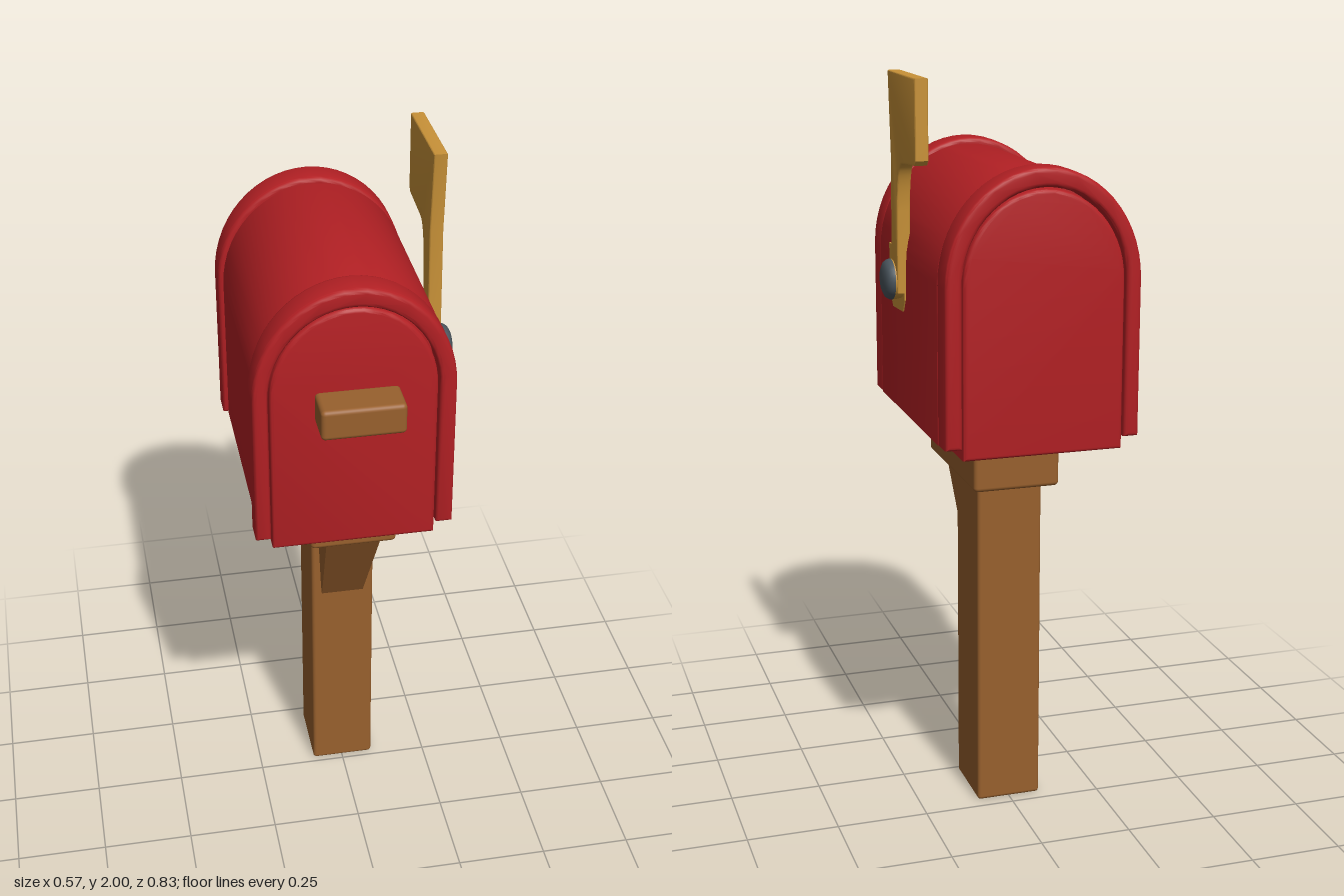
import * as THREE from 'three';
import { toCreasedNormals } from 'three/addons/utils/BufferGeometryUtils.js';
import { RoundedBoxGeometry } from 'three/addons/geometries/RoundedBoxGeometry.js';

const mat = (name, color) => {
  const m = new THREE.MeshStandardMaterial({ color });
  m.name = name;
  return m;
};

// Round-topped outline, from the bottom left corner up, over and down
function archPoints(cx, halfWidth, bottom, spring, top) {
  const pts = [new THREE.Vector2(cx - halfWidth, bottom)];
  const n = 28;
  for (let i = 0; i <= n; i++) {
    const a = Math.PI * (1 - i / n);
    pts.push(new THREE.Vector2(cx + halfWidth * Math.cos(a), spring + (top - spring) * Math.sin(a)));
  }
  pts.push(new THREE.Vector2(cx + halfWidth, bottom));
  return pts;
}

// Extrusion between two depths with softened edges that stay inside the outline
function extrude(shape, z0, z1, bevel) {
  const g = new THREE.ExtrudeGeometry(shape, {
    depth: z1 - z0 - 2 * bevel, curveSegments: 10,
    bevelEnabled: true, bevelThickness: bevel, bevelSize: bevel, bevelOffset: -bevel, bevelSegments: 3,
  });
  g.translate(0, 0, z0 + bevel);
  return toCreasedNormals(g, 0.7);
}

export function createModel() {
  const group = new THREE.Group();
  group.name = 'mailbox';
  const red = mat('red paint', 0xb32024);
  const wood = mat('brown wood', 0x98602d);
  const gold = mat('gold paint', 0xc99238);
  const steel = mat('dark steel', 0x4a555d);

  const add = (name, geometry, material) => {
    const mesh = new THREE.Mesh(geometry, material);
    mesh.name = name;
    group.add(mesh);
    return mesh;
  };
  const box = (name, x0, x1, y0, y1, z0, z1, r, material) => {
    const g = new RoundedBoxGeometry(x1 - x0, y1 - y0, z1 - z0, 3, r);
    g.translate((x0 + x1) / 2, (y0 + y1) / 2, (z0 + z1) / 2);
    return add(name, g, material);
  };

  // Wooden support
  box('post', -0.088, 0.091, 0, 0.922, -0.217, -0.014, 0.01, wood);
  box('postCap', -0.118, 0.118, 0.924, 1.045, -0.275, 0.165, 0.012, wood);

  // Slanted brace, tapering towards its foot
  const braceShape = new THREE.Shape([
    [-0.158, 0.928], [-0.012, 0.928], [0.016, 0.66], [0.014, 0.64], [0.006, 0.64],
  ].reverse().map(([u, y]) => new THREE.Vector2(u, y)));
  const braceGeo = new THREE.ExtrudeGeometry(braceShape, { depth: 0.15, bevelEnabled: false });
  braceGeo.translate(0, 0, -0.075).rotateY(Math.PI / 2);
  const p = braceGeo.attributes.position;
  for (let i = 0; i < p.count; i++) {
    p.setX(i, p.getX(i) * (0.8 + 0.2 * (p.getY(i) - 0.64) / 0.288));
  }
  braceGeo.computeVertexNormals();
  add('brace', braceGeo, wood);

  // Outer shell, and the inner core that shows as floor, door and back panel
  add('shell', extrude(new THREE.Shape(archPoints(-0.02, 0.253, 1.082, 1.5, 1.777)), -0.335, 0.25, 0.006), red);
  add('doorAndBackPanel', extrude(new THREE.Shape(archPoints(-0.029, 0.214, 1.053, 1.5, 1.738)), -0.405, 0.318, 0.01), red);

  // Raised U-shaped rims at both ends
  const rimOutline = [
    ...archPoints(-0.027, 0.26, 1.085, 1.5, 1.793),
    ...archPoints(-0.029, 0.218, 1.085, 1.5, 1.743).reverse(),
  ];
  for (const [name, z0, z1] of [['frontRim', 0.238, 0.323], ['backRim', -0.411, -0.325]]) {
    add(name, extrude(new THREE.Shape(rimOutline), z0, z1, 0.012), red);
  }

  // Door handle
  box('doorHandle', -0.13, 0.086, 1.43, 1.514, 0.31, 0.414, 0.012, wood);

  // Signal flag, drawn in the side plane and extruded along x
  const flag = new THREE.Shape();
  flag.moveTo(-0.035, 1.42);
  flag.lineTo(0.03, 1.42);
  flag.lineTo(0.036, 1.64);
  flag.quadraticCurveTo(0.045, 1.77, 0.09, 1.772);
  flag.lineTo(0.212, 1.782);
  flag.lineTo(0.225, 1.795);
  flag.lineTo(0.225, 2);
  flag.lineTo(-0.046, 2);
  flag.lineTo(-0.024, 1.78);
  flag.closePath();
  add('flag', extrude(flag, 0.221, 0.257, 0.004).rotateY(Math.PI / 2), gold);

  // Gold patch behind the flag pivot
  const patch = new THREE.Shape([
    [-0.125, 1.39], [-0.1, 1.36], [0.005, 1.365], [0.025, 1.40], [0.025, 1.5],
    [-0.02, 1.56], [-0.08, 1.55], [-0.095, 1.53], [-0.135, 1.53], [-0.13, 1.45],
  ].map(([u, y]) => new THREE.Vector2(u, y)));
  const patchGeo = new THREE.ExtrudeGeometry(patch, { depth: 0.008, bevelEnabled: false });
  patchGeo.translate(0, 0, 0.2285).rotateY(Math.PI / 2);
  add('pivotPatch', patchGeo, gold);

  // Pivot knob: gold collar with a dark domed cap
  const turned = (pts) => new THREE.LatheGeometry(pts.map(([r, h]) => new THREE.Vector2(r, h)), 28)
    .rotateZ(-Math.PI / 2).translate(0, 1.45, 0.025);
  add('knobCollar', turned([[0.042, 0.22], [0.052, 0.235], [0.054, 0.25], [0.054, 0.262]]), gold);
  add('knobCap', turned([[0.055, 0.26], [0.054, 0.268], [0.048, 0.277], [0.036, 0.283], [0.018, 0.286], [0, 0.287]]), steel);

  return group;
}
